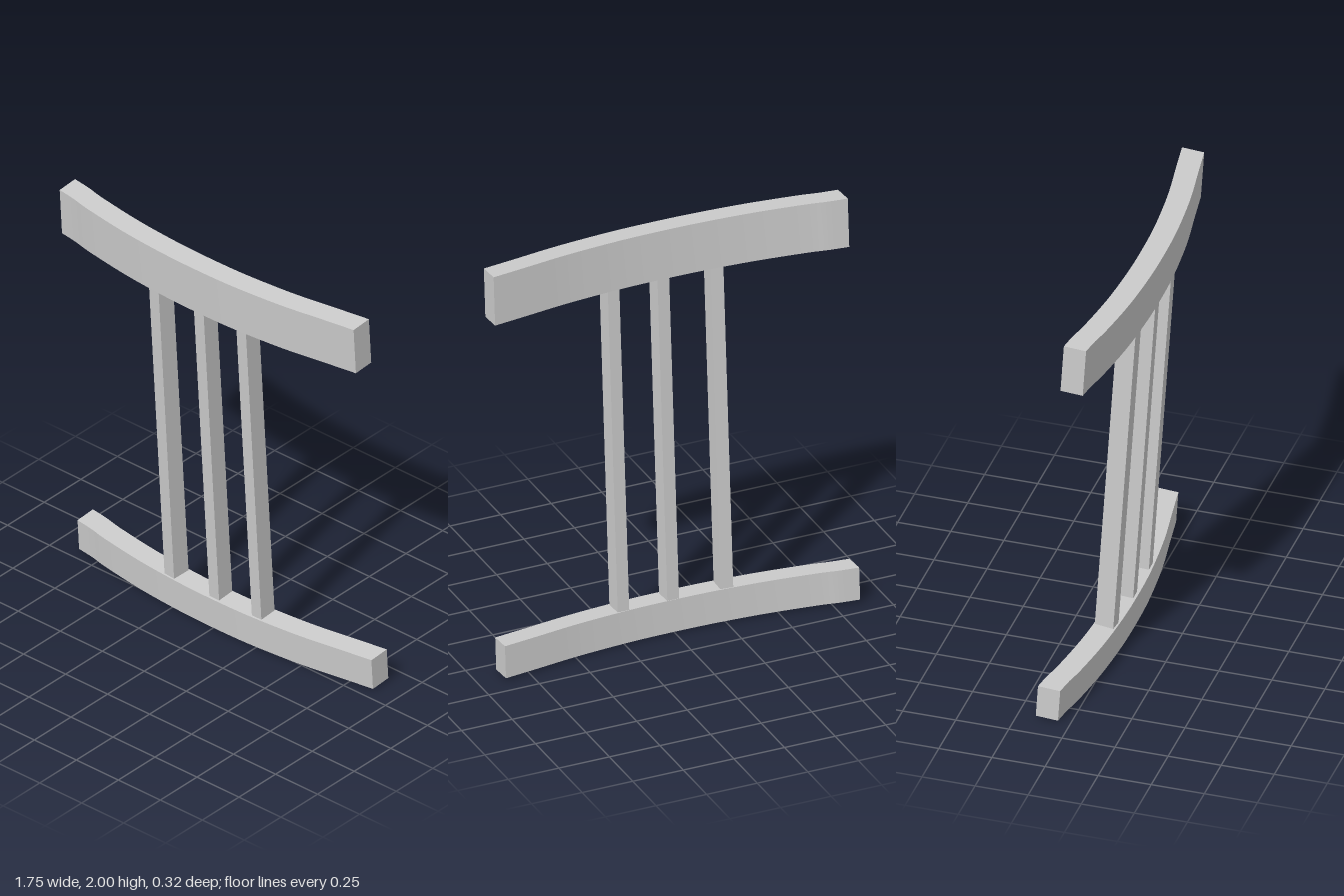
import * as THREE from 'three';
import { toCreasedNormals } from 'three/addons/utils/BufferGeometryUtils.js';

const LEAN = 0.0665; // forward tilt of the whole back, radians
const FRONT = 0.0275, BACK = -0.0775; // rail faces at the middle

// Bow of the rails seen from above: x and setback from the middle
const bow = new THREE.SplineCurve([
  [-0.875, 0.086], [-0.78, 0.073], [-0.68, 0.053], [-0.44, 0.021], [-0.2, 0.004], [0, 0],
  [0.2, 0.004], [0.4, 0.019], [0.54, 0.035], [0.7, 0.06], [0.875, 0.086],
].map(([x, d]) => new THREE.Vector2(x, d))).getPoints(40);

const material = new THREE.MeshStandardMaterial({ color: 0xcccccc });

// Curved rail: the bowed outline extruded upwards
function makeRail(name, bottom, top) {
  const front = bow.map(p => new THREE.Vector2(p.x, p.y - FRONT));
  const back = bow.map(p => new THREE.Vector2(p.x, p.y - BACK)).reverse();
  const geometry = new THREE.ExtrudeGeometry(new THREE.Shape([...front, ...back]), {
    depth: top - bottom, bevelEnabled: false,
  });
  geometry.rotateX(-Math.PI / 2).translate(0, bottom, 0);
  const mesh = new THREE.Mesh(toCreasedNormals(geometry, 0.6), material);
  mesh.name = name;
  return mesh;
}

// Upright slat running between the rails
function makeSlat(name, x, width, z, turn) {
  const mesh = new THREE.Mesh(new THREE.BoxGeometry(width, 1.62, 0.09), material);
  mesh.position.set(x, 0.96, z);
  mesh.rotation.y = turn;
  mesh.name = name;
  return mesh;
}

export function createModel() {
  const model = new THREE.Group();
  model.name = 'chairBack';
  const frame = new THREE.Group();
  frame.name = 'leaningFrame';
  frame.rotation.x = LEAN;
  frame.add(
    makeRail('topRail', 1.755, 1.995),
    makeRail('bottomRail', 0.003, 0.162),
    makeSlat('rightSlat', -0.264, 0.062, -0.034, -0.09),
    makeSlat('middleSlat', 0.003, 0.058, -0.03, 0),
    makeSlat('leftSlat', 0.251, 0.057, -0.035, 0),
  );
  model.add(frame);
  return model;
}
